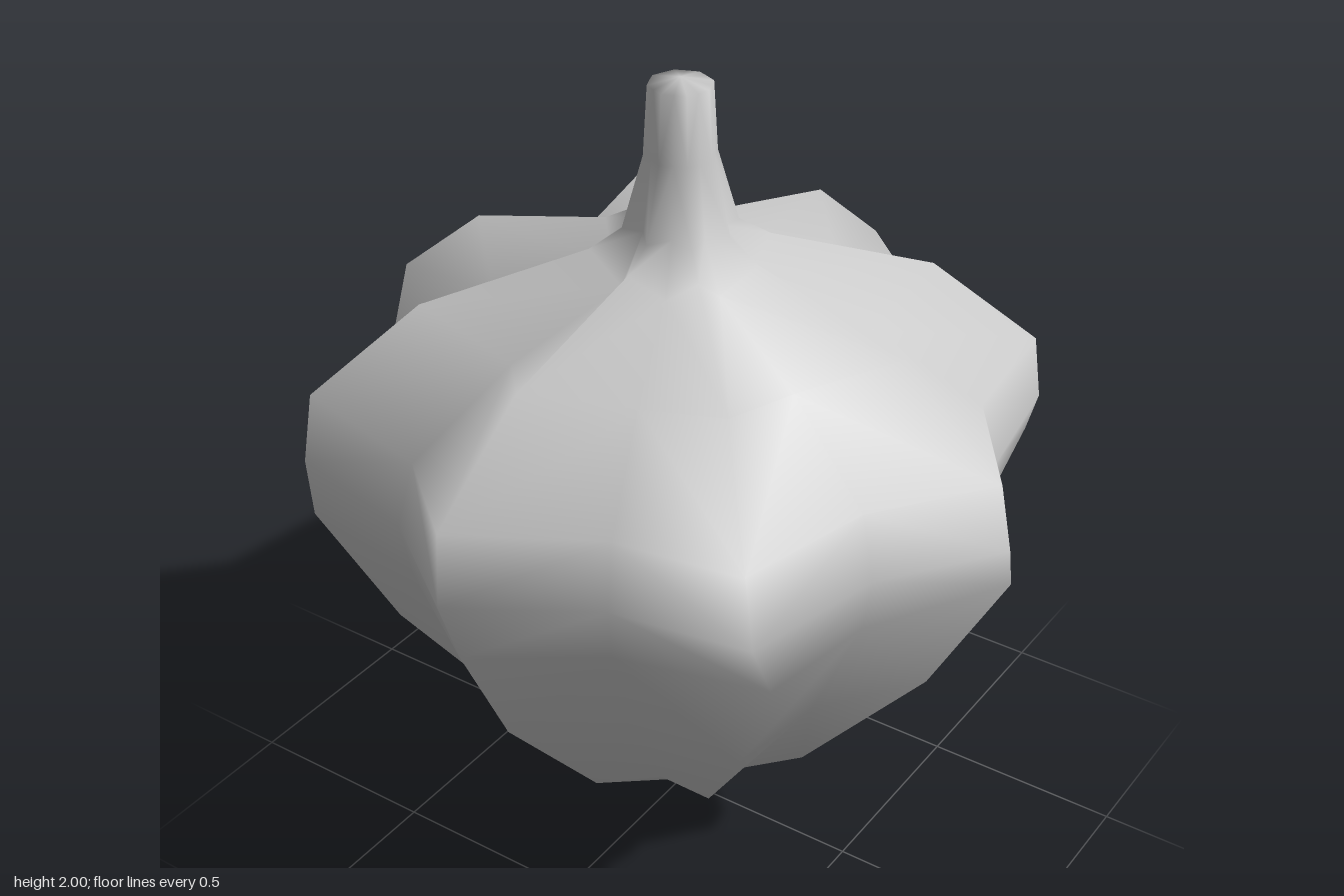
import * as THREE from 'three';

// Matching rings from bottom tip to stem top: [radius, height] on lobe crests and in the grooves
const CREST = [[0.37, 0.25], [0.70, 0.64], [0.88, 0.98], [0.89, 1.10], [0.863, 1.27],
  [0.60, 1.49], [0.21, 1.60], [0.135, 1.645], [0.085, 1.82], [0.075, 1.985]];
const GROOVE = [[0.25, 0.22], [0.56, 0.62], [0.73, 0.96], [0.755, 1.10], [0.71, 1.25],
  [0.45, 1.42], [0.16, 1.53], [0.10, 1.65], [0.078, 1.82], [0.07, 1.985]];
// Slight sideways wander of each ring, in radians
const WANDER = [0, 0, -0.03, 0.02, 0.035, 0.02, 0, 0, 0, 0];
const COLUMNS = 16; // eight lobes, crest and groove alternating

// Closed surface through the rings, with shared vertices for smooth normals
function lobedGeometry() {
  const positions = [0, 0, 0];
  const index = [];
  const rings = CREST.length;
  for (let i = 0; i < rings; i++) {
    for (let j = 0; j < COLUMNS; j++) {
      const [r, y] = (j % 2 ? GROOVE : CREST)[i];
      const a = (j / COLUMNS) * Math.PI * 2 + (j % 2 ? 0 : WANDER[i]);
      positions.push(r * Math.cos(a), y, r * Math.sin(a));
    }
  }
  const top = positions.length / 3;
  positions.push(0, 2, 0);
  const at = (i, j) => 1 + i * COLUMNS + (j % COLUMNS);
  for (let j = 0; j < COLUMNS; j++) {
    index.push(0, at(0, j), at(0, j + 1));
    for (let i = 0; i < rings - 1; i++) {
      const a = at(i, j), b = at(i, j + 1), c = at(i + 1, j + 1), d = at(i + 1, j);
      // Diagonals mirror on either side of each crest
      if (j % 2) index.push(a, d, b, b, d, c);
      else index.push(a, c, b, a, d, c);
    }
    index.push(at(rings - 1, j), top, at(rings - 1, j + 1));
  }
  const geometry = new THREE.BufferGeometry();
  geometry.setAttribute('position', new THREE.Float32BufferAttribute(positions, 3));
  geometry.setIndex(index);
  geometry.computeVertexNormals();
  return geometry;
}

export function createModel() {
  const group = new THREE.Group();
  group.name = 'lobedBulb';
  const material = new THREE.MeshStandardMaterial({ color: 0xcccccc });
  // Bulb and stem are one continuous skin
  const bulb = new THREE.Mesh(lobedGeometry(), material);
  bulb.name = 'bulbWithStem';
  group.add(bulb);
  return group;
}
